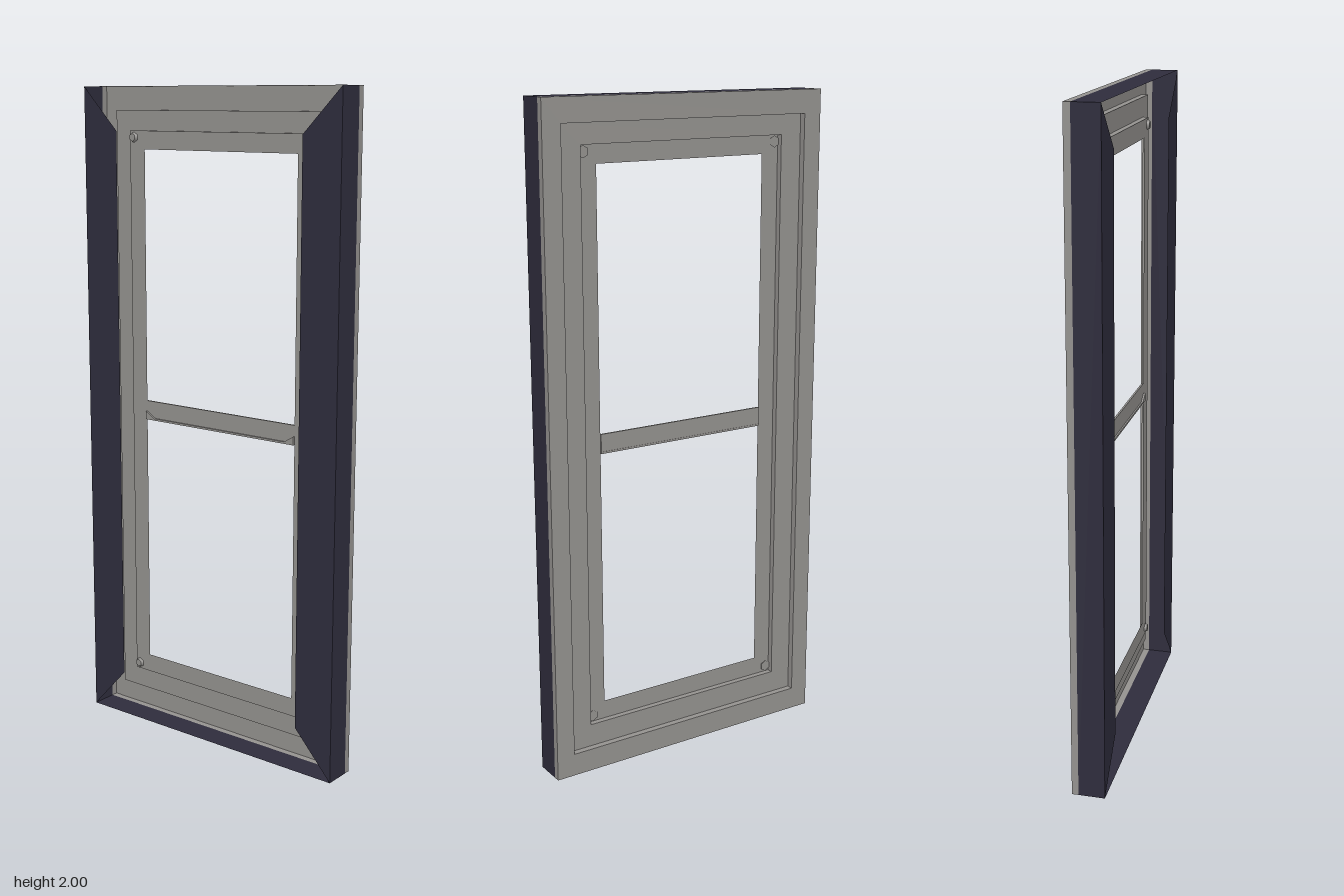
import * as THREE from 'three';

const grey = new THREE.MeshStandardMaterial({ color: 0x959390, side: THREE.DoubleSide });
grey.name = 'warm grey frame';
const dark = new THREE.MeshStandardMaterial({ color: 0x2f2d3d, side: THREE.DoubleSide });
dark.name = 'dark casing';

// Joins rectangular cross-sections [halfWidth, bottom, top, z] with flat faces
function loftRects(sections) {
  const pos = [];
  const corner = ([w, b, t, z], i) => [
    [-w, b, z], [w, b, z], [w, t, z], [-w, t, z],
  ][i % 4];
  for (let s = 0; s < sections.length - 1; s++) {
    for (let i = 0; i < 4; i++) {
      const a = corner(sections[s], i), b = corner(sections[s], i + 1);
      const c = corner(sections[s + 1], i + 1), d = corner(sections[s + 1], i);
      pos.push(...a, ...c, ...b, ...a, ...d, ...c);
    }
  }
  const g = new THREE.BufferGeometry();
  g.setAttribute('position', new THREE.Float32BufferAttribute(pos, 3));
  g.computeVertexNormals();
  return g;
}

export function createModel() {
  const group = new THREE.Group();
  const add = (name, geometry, material, x = 0, y = 0, z = 0) => {
    const mesh = new THREE.Mesh(geometry, material);
    mesh.name = name;
    mesh.position.set(x, y, z);
    group.add(mesh);
    return mesh;
  };

  // Stepped sheet: outer trim, outer sash and inner sash
  add('steppedFrame', loftRects([
    [0.468, 0, 2, -0.03],
    [0.468, 0, 2, -0.05],
    [0.41, 0.07, 1.93, -0.05],
    [0.41, 0.07, 1.93, -0.03],
    [0.34, 0.14, 1.87, -0.03],
    [0.34, 0.14, 1.87, -0.012],
    [0.282, 0.197, 1.815, -0.012],
  ]), grey);

  // Outer walls of the casing
  add('casingWalls', loftRects([
    [0.468, 0, 2, 0.05],
    [0.468, 0, 2, -0.03],
  ]), dark);

  // Mitred jamb faces at the front, open above and below
  for (const side of [-1, 1]) {
    const jamb = new THREE.Shape([
      [0.468, 0], [0.468, 2], [0.34, 1.87], [0.34, 0.14],
    ].map(([x, y]) => new THREE.Vector2(side * x, y)));
    add(side > 0 ? 'leftJamb' : 'rightJamb', new THREE.ShapeGeometry(jamb), dark, 0, 0, 0.05);
  }

  // Small corner blocks on the inner sash
  for (const x of [-0.325, 0.325]) {
    for (const y of [0.16, 1.85]) {
      const block = add('cornerBlock', new THREE.CylinderGeometry(0.012, 0.018, 0.012, 6), grey, x, y, -0.01);
      block.rotation.x = Math.PI / 2;
    }
  }

  // Meeting rail with a thin lip and angled ends below
  add('meetingRail', new THREE.BoxGeometry(0.564, 0.056, 0.006), grey, 0, 1.015, -0.014);
  add('railLip', new THREE.BoxGeometry(0.564, 0.006, 0.012), grey, 0, 0.987, -0.012);
  for (const side of [-1, 1]) {
    const end = new THREE.Shape([
      [0.282, 0.985], [0.282, 1.01], [0.24, 0.985],
    ].map(([x, y]) => new THREE.Vector2(side * x, y)));
    add('railEnd', new THREE.ExtrudeGeometry(end, { depth: 0.006, bevelEnabled: false }), grey, 0, 0, -0.011);
  }
  return group;
}
